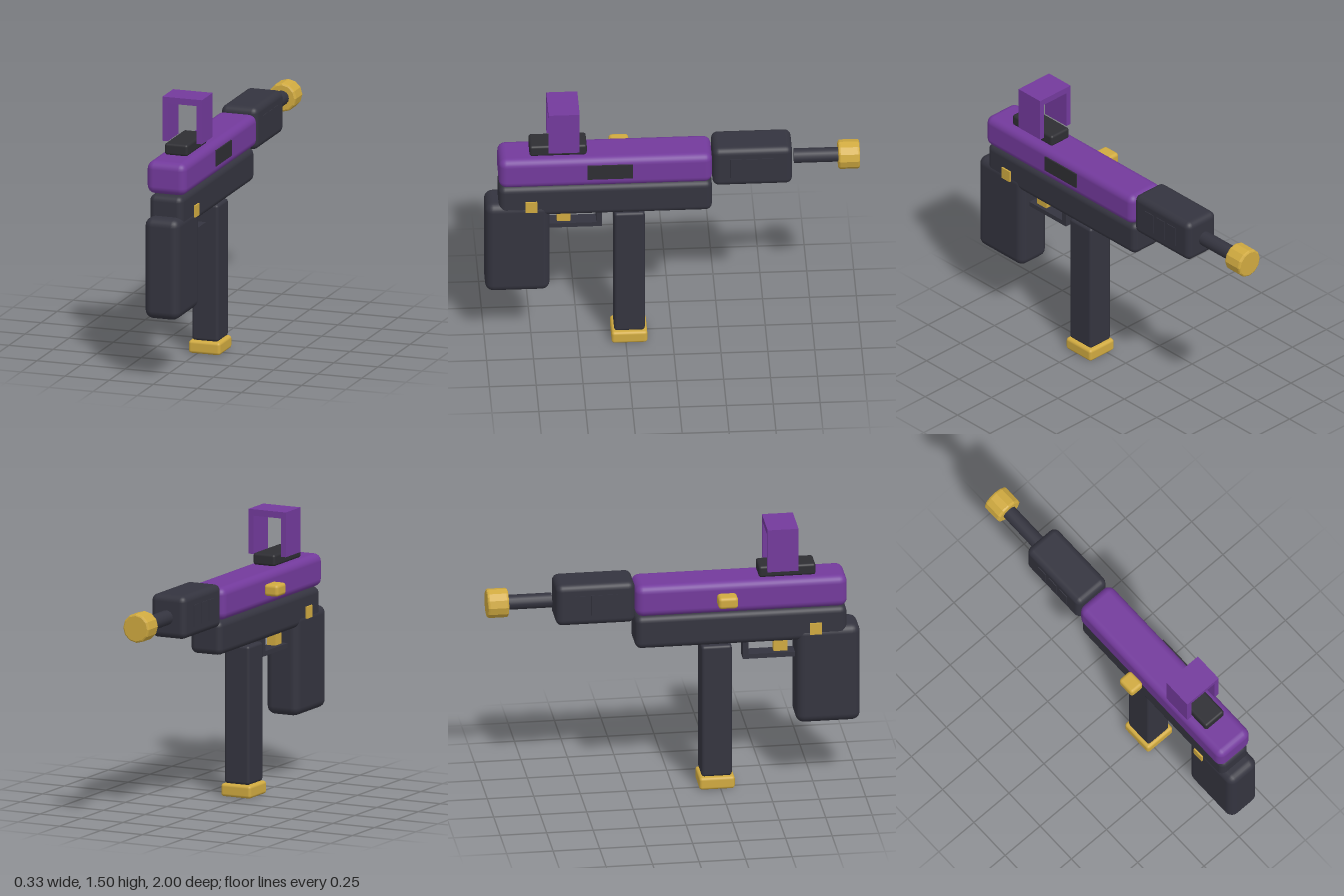
import * as THREE from 'three';
import { RoundedBoxGeometry } from 'three/addons/geometries/RoundedBoxGeometry.js';

const material = (name, color, extra = {}) => {
  const m = new THREE.MeshStandardMaterial({ color, ...extra });
  m.name = name;
  return m;
};

export function createModel() {
  const model = new THREE.Group();
  const charcoal = material('charcoal', 0x34343f);
  const darkGrey = material('darkGrey', 0x2e2e33);
  const purple = material('purple', 0x733a9c);
  const gold = material('gold', 0xd0aa40);
  const CX = 0.042; // centre line of the body

  const add = (name, geometry, mat, x, y, z) => {
    const mesh = new THREE.Mesh(geometry, mat);
    mesh.name = name;
    mesh.position.set(x, y, z);
    model.add(mesh);
    return mesh;
  };

  // Box given by its ranges on each axis, with an optional rounded edge
  const box = (name, mat, [x0, x1], [y0, y1], [z0, z1], r = 0) => {
    const size = [x1 - x0, y1 - y0, z1 - z0];
    const geometry = r ? new RoundedBoxGeometry(...size, 3, r) : new THREE.BoxGeometry(...size);
    return add(name, geometry, mat, (x0 + x1) / 2, (y0 + y1) / 2, (z0 + z1) / 2);
  };
  const wide = (w) => [CX - w / 2, CX + w / 2];

  // Body
  box('upperBody', purple, wide(0.224), [1.025, 1.203], [-0.21, 0.928], 0.042);
  box('lowerBody', charcoal, wide(0.19), [0.835, 1.022], [-0.21, 0.928], 0.035);
  box('frontHousing', charcoal, wide(0.208), [0.996, 1.23], [-0.637, -0.212], 0.035);
  box('rearGrip', charcoal, wide(0.197), [0.355, 0.91], [0.655, 1], 0.045);

  // Thin panels on both sides of the front housing
  for (const z of [-0.505, -0.42, -0.335]) {
    for (const side of [-1, 1]) {
      const x = CX + side * 0.104;
      box('sidePanel', charcoal, [x - 0.004, x + 0.004], [1.055, 1.17], [z - 0.03, z + 0.03]);
    }
  }

  // Barrel and its bevelled tip
  const barrel = new THREE.CylinderGeometry(0.04, 0.04, 0.24, 16).rotateX(Math.PI / 2);
  add('barrel', barrel, charcoal, CX, 1.113, -0.77);
  const tipProfile = [[0, 0], [0.069, 0], [0.076, 0.004], [0.079, 0.012],
    [0.079, 0.103], [0.076, 0.111], [0.069, 0.115], [0, 0.115]]
    .map(([r, y]) => new THREE.Vector2(r, y));
  const tip = new THREE.LatheGeometry(tipProfile, 12).toNonIndexed().rotateX(Math.PI / 2);
  tip.computeVertexNormals();
  add('barrelTip', tip, gold, CX, 1.113, -1);

  // Lower column and its foot
  box('column', charcoal, wide(0.15), [0.07, 0.825], [0.148, 0.312], 0.016);
  box('columnFoot', gold, wide(0.18), [0, 0.07], [0.135, 0.326], 0.016);

  // Guard loop and lever
  box('guardBar', charcoal, wide(0.08), [0.727, 0.753], [0.375, 0.66]);
  box('guardPost', charcoal, wide(0.08), [0.753, 0.84], [0.375, 0.405]);
  box('lever', gold, wide(0.05), [0.757, 0.84], [0.542, 0.615]);

  // Side details
  for (const side of [-1, 1]) {
    const x = CX + side * 0.116;
    box('sidePlate', gold, [x - 0.0045, x + 0.0045], [0.88, 0.945], [0.725, 0.788]);
  }
  box('sideHandle', gold, [-0.166, -0.082], [1.09, 1.155], [0.222, 0.328], 0.018);
  box('sideWindow', darkGrey, [0.152, 0.161], [1.08, 1.166], [0.215, 0.457]);

  // Top mount and open frame above it
  box('topMount', darkGrey, wide(0.132), [1.203, 1.267], [0.457, 0.763], 0.014);
  const shape = new THREE.Shape([[-0.112, 1.252], [-0.112, 1.495], [0.112, 1.495], [0.112, 1.252],
    [0.082, 1.252], [0.082, 1.46], [-0.082, 1.46], [-0.082, 1.252]]
    .map(([x, y]) => new THREE.Vector2(x, y)));
  const frame = new THREE.ExtrudeGeometry(shape, { depth: 0.166, bevelEnabled: false });
  add('topFrame', frame, purple, CX, 0, 0.498);

  return model;
}
